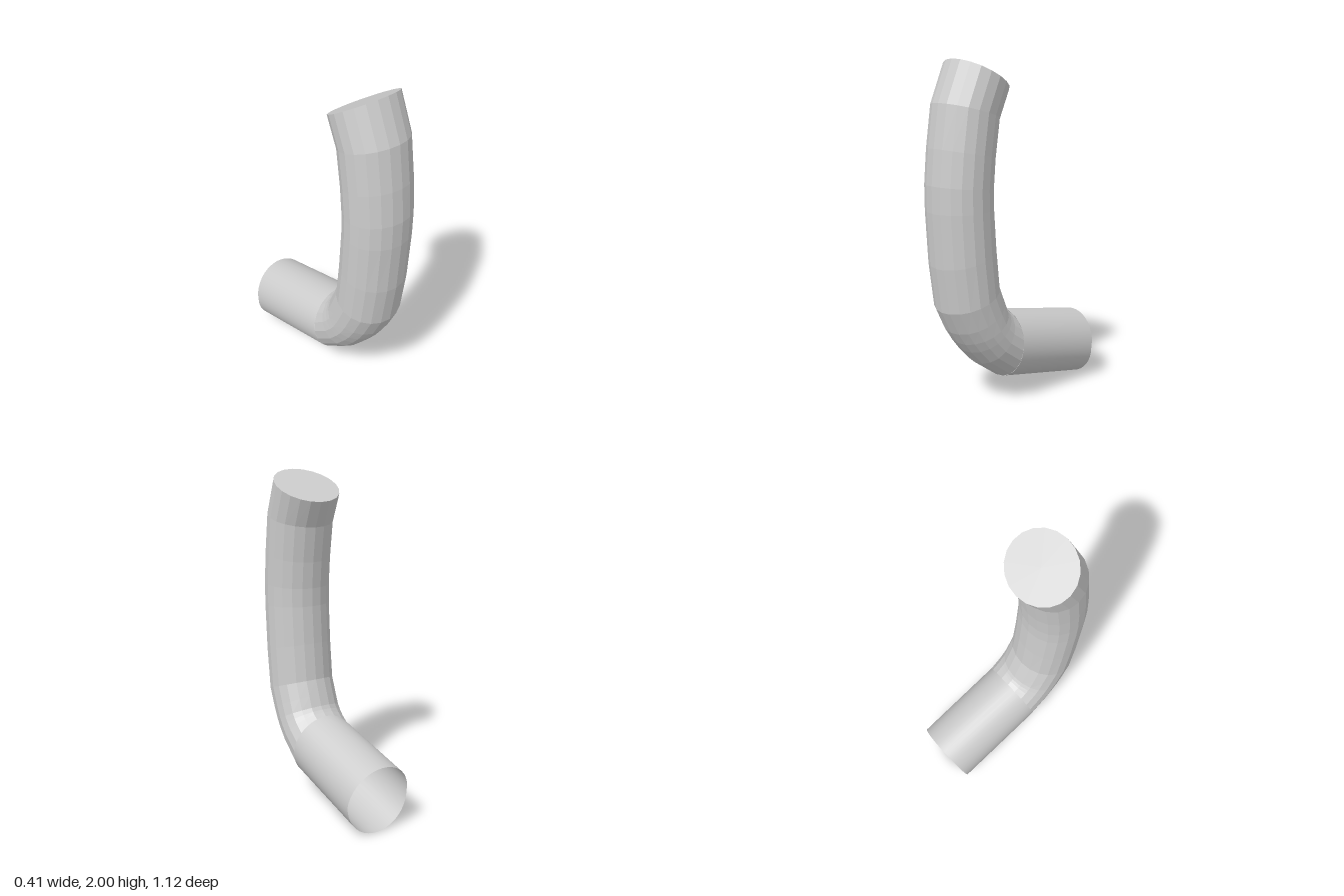
import * as THREE from 'three';

const RADIUS = 0.205;

// Loop spanning an outer and an inner point of the side profile, each [z, y]
const loop = ([oz, oy], [iz, iy]) => (t) => new THREE.Vector3(
  RADIUS * Math.sin(t),
  (oy + iy) / 2 + (oy - iy) / 2 * Math.cos(t),
  (oz + iz) / 2 + (oz - iz) / 2 * Math.cos(t)
);

// Skin a row of loops with quads facing outwards
function skin(loops, sides) {
  const points = [], index = [];
  loops.forEach((at, i) => {
    for (let j = 0; j < sides; j++) {
      points.push(at(j / sides * Math.PI * 2));
      if (i === loops.length - 1) continue;
      const a = i * sides + j, b = i * sides + (j + 1) % sides;
      index.push(a, a + sides, b, b, a + sides, b + sides);
    }
  });
  const geometry = new THREE.BufferGeometry().setFromPoints(points);
  geometry.setIndex(index);
  geometry.computeVertexNormals();
  return geometry;
}

export function createModel() {
  const group = new THREE.Group();
  const smooth = new THREE.MeshStandardMaterial({ color: 0xcccccc, side: THREE.DoubleSide });
  const faceted = new THREE.MeshStandardMaterial({ color: 0xcccccc, side: THREE.DoubleSide, flatShading: true });
  const add = (name, geometry, material) => {
    const mesh = new THREE.Mesh(geometry, material);
    mesh.name = name;
    group.add(mesh);
  };

  // Curved pipe: outer and inner profile points from the top down
  const bend = [
    [[0.41, 2.0], [0.08, 1.82]],
    [[0.505, 1.77], [0.145, 1.67]],
    [[0.54, 1.53], [0.175, 1.46]],
    [[0.558, 1.33], [0.188, 1.3]],
    [[0.558, 1.18], [0.188, 1.19]],
    [[0.542, 0.87], [0.172, 0.96]],
    [[0.508, 0.61], [0.15, 0.735]],
    [[0.446, 0.477], [0.115, 0.645]],
    [[0.4, 0.405], [0.09, 0.58]],
    [[0.355, 0.345], [0.075, 0.56]],
    [[0.276, 0.255], [0.06, 0.547]],
    [[0.11, 0.133], [0.035, 0.53]],
  ].map(([outer, inner]) => loop(outer, inner));
  add('curvedPipe', skin(bend, 20), faceted);

  // Flat lid on the upper end
  const rim = Array.from({ length: 20 }, (_, j) => bend[0](j / 20 * Math.PI * 2));
  const lid = new THREE.BufferGeometry().setFromPoints([new THREE.Vector3(0, 1.91, 0.245), ...rim]);
  lid.setIndex(rim.flatMap((_, j) => [0, j + 1, (j + 1) % 20 + 1]));
  lid.computeVertexNormals();
  add('topCap', lid, faceted);

  // Straight outlet, open at the back, its mouth upright below and slanted above
  const mouth = (t) => new THREE.Vector3(
    RADIUS * Math.sin(t),
    RADIUS - RADIUS * Math.cos(t),
    -0.515 - 0.042 * Math.max(0, -Math.cos(t))
  );
  // The bottom of the mouth lines up with the outer side of the bend
  add('straightPipe', skin([bend[bend.length - 1], mouth], 40), smooth);

  return group;
}
